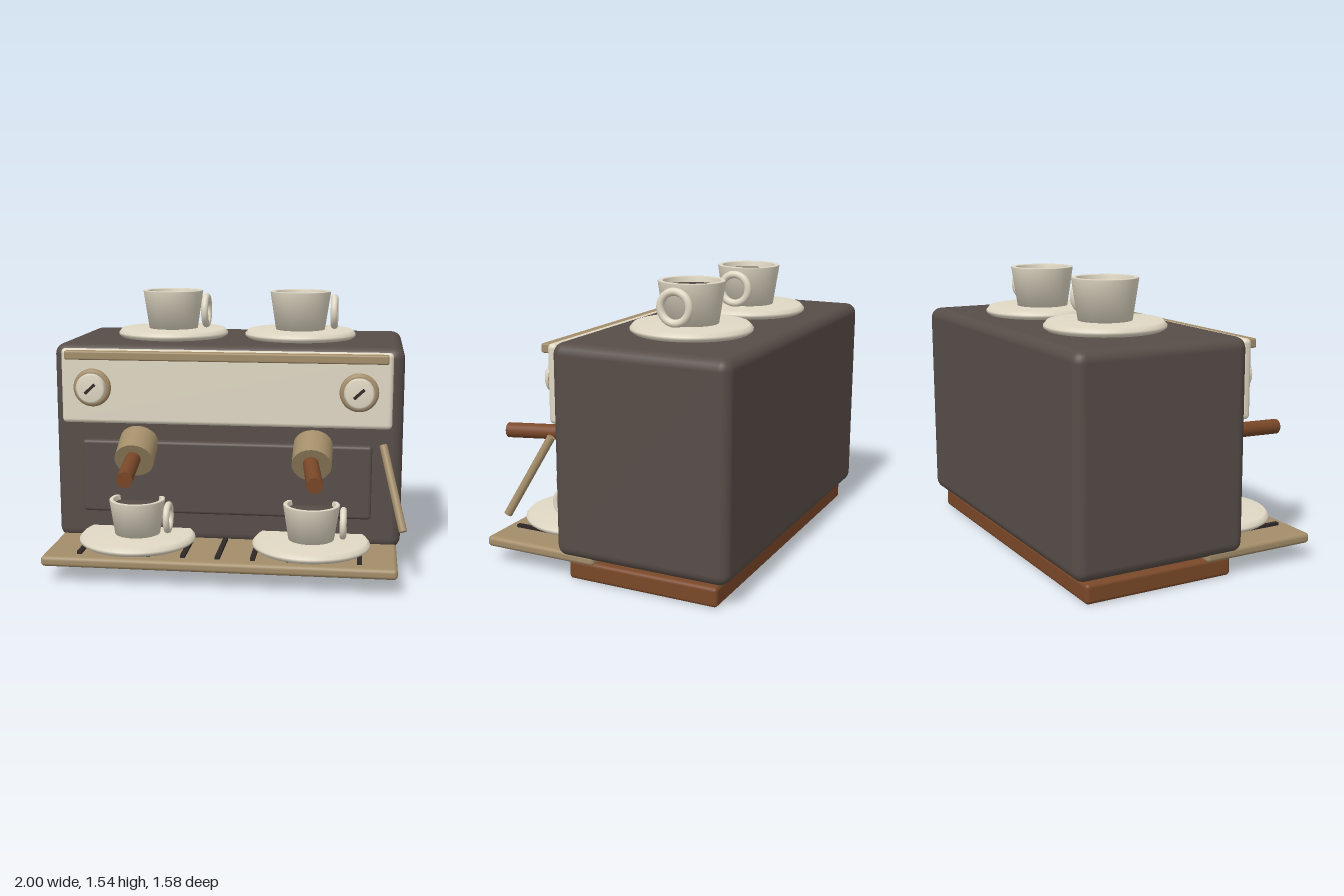
import * as THREE from 'three';
import { RoundedBoxGeometry } from 'three/addons/geometries/RoundedBoxGeometry.js';

const material = (name, color) => {
  const m = new THREE.MeshStandardMaterial({ color });
  m.name = name;
  return m;
};

export function createModel() {
  const charcoal = material('charcoal', 0x574d48);
  const cream = material('cream', 0xe0d8c4);
  const brass = material('brass', 0xa38d69);
  const wood = material('wood', 0x7a4828);
  const dark = material('dark', 0x2e2927);

  const model = new THREE.Group();
  model.name = 'espressoMachine';

  const add = (parent, name, geometry, mat, x = 0, y = 0, z = 0) => {
    const mesh = new THREE.Mesh(geometry, mat);
    mesh.name = name;
    mesh.position.set(x, y, z);
    parent.add(mesh);
    return mesh;
  };

  // Rounded box given by its extents on each axis
  const slab = (name, mat, [x0, x1], [y0, y1], [z0, z1], radius) =>
    add(model, name, new RoundedBoxGeometry(x1 - x0, y1 - y0, z1 - z0, 3, radius), mat,
      (x0 + x1) / 2, (y0 + y1) / 2, (z0 + z1) / 2);

  // Cylinder running between two points
  const rod = (parent, name, mat, from, to, radius, segments = 24) => {
    const a = new THREE.Vector3(...from), b = new THREE.Vector3(...to);
    const axis = b.clone().sub(a);
    const mesh = add(parent, name, new THREE.CylinderGeometry(radius, radius, axis.length(), segments), mat);
    mesh.position.copy(a).add(b).multiplyScalar(0.5);
    mesh.quaternion.setFromUnitVectors(new THREE.Vector3(0, 1, 0), axis.normalize());
    return mesh;
  };

  const lathe = (points) =>
    new THREE.LatheGeometry(points.map(([r, y]) => new THREE.Vector2(r, y)), 48);

  // Housing, base, drip tray and front panels
  slab('body', charcoal, [-1, 0.972], [0.122, 1.262], [-0.785, 0.2], 0.06);
  slab('base', wood, [-0.967, 0.94], [0, 0.106], [-0.72, 0.133], 0.02);
  slab('dripTray', brass, [-0.98, 0.952], [0.092, 0.15], [-0.02, 0.648], 0.022);
  slab('controlPanel', cream, [-0.945, 0.91], [0.82, 1.242], [0.2, 0.256], 0.024);
  slab('topRail', brass, [-0.912, 0.884], [1.186, 1.236], [0.25, 0.307], 0.01);
  slab('lowerPanel', charcoal, [-0.835, 0.805], [0.304, 0.722], [0.19, 0.247], 0.018);

  // Slots across the drip tray
  for (let i = 0; i < 9; i++) {
    add(model, 'traySlot', new THREE.BoxGeometry(0.026, 0.02, 0.36), dark, -0.778 + i * 0.191, 0.156, 0.4);
  }

  // Control dials
  for (const x of [-0.757, 0.727]) {
    const dial = new THREE.Group();
    dial.name = 'dial';
    dial.position.set(x, 1.03, 0);
    model.add(dial);
    add(dial, 'dialBezel', new THREE.TorusGeometry(0.085, 0.022, 16, 48), brass, 0, 0, 0.289);
    const face = add(dial, 'dialFace', lathe(
      [[0, 0], [0.083, 0], [0.083, 0.08], [0.072, 0.09], [0, 0.09]]), cream, 0, 0, 0.254);
    face.rotation.x = Math.PI / 2;
    const pointer = add(dial, 'dialPointer', new THREE.BoxGeometry(0.075, 0.016, 0.014), dark, 0, 0, 0.348);
    pointer.rotation.z = 0.75;
  }

  // Brewing heads with wooden handles
  for (const x of [-0.508, 0.478]) {
    rod(model, 'brewHead', brass, [x, 0.717, 0.22], [x, 0.637, 0.373], 0.11);
    rod(model, 'brewHandle', wood, [x - 0.008, 0.652, 0.34], [x + 0.038, 0.626, 0.785], 0.043);
  }

  // Steam wand
  rod(model, 'steamWand', brass, [0.864, 0.738, 0.27], [0.977, 0.313, 0.483], 0.022);

  // Saucers and cups
  const saucer = lathe([[0, 0], [0.308, 0], [0.327, 0.014], [0.327, 0.028], [0.307, 0.05], [0, 0.05]]);
  const cup = lathe([[0, 0], [0.145, 0], [0.179, 0.222], [0.174, 0.226], [0.155, 0.226], [0.15, 0.222], [0.142, 0.15]]);
  const coffee = lathe([[0, 0.15], [0.148, 0.15], [0.148, 0.195], [0, 0.195]]);
  const handle = new THREE.TorusGeometry(0.082, 0.021, 14, 40);
  const cupSet = (x, y, z, scale) => {
    const set = new THREE.Group();
    set.name = 'cupAndSaucer';
    set.position.set(x, y, z);
    model.add(set);
    add(set, 'saucer', saucer, cream);
    const vessel = new THREE.Group();
    vessel.name = 'cup';
    vessel.position.y = 0.049;
    vessel.scale.setScalar(scale);
    set.add(vessel);
    add(vessel, 'cupWall', cup, cream);
    add(vessel, 'coffee', coffee, charcoal);
    add(vessel, 'cupHandle', handle, cream, 0.201, 0.107, 0).rotation.y = Math.PI / 2;
  };
  for (const x of [-0.398, 0.366]) cupSet(x, 1.262, -0.301, 1);
  for (const x of [-0.506, 0.478]) cupSet(x, 0.158, 0.315, 0.88);

  return model;
}
